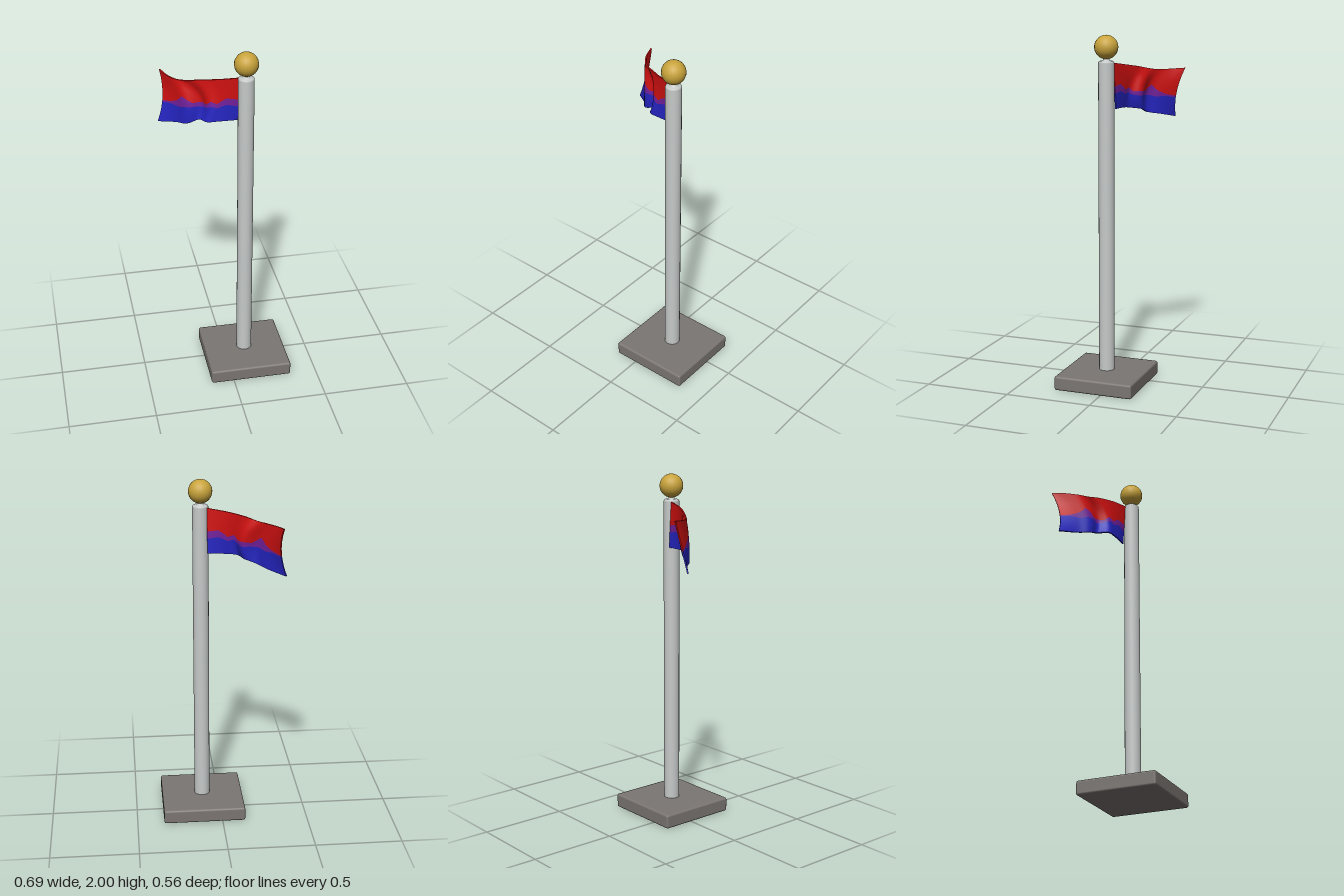
import * as THREE from 'three';
import { RoundedBoxGeometry } from 'three/addons/geometries/RoundedBoxGeometry.js';

const mat = (name, color, side = THREE.FrontSide) => {
  const m = new THREE.MeshStandardMaterial({ color, side });
  m.name = name;
  return m;
};

// Grid surface of (cols+1) x (rows+1) points; rowMaterial(j) picks the colour of a row
function sheet(point, cols, rows, rowMaterial) {
  const pos = [], index = [], geo = new THREE.BufferGeometry();
  for (let j = 0; j <= rows; j++)
    for (let i = 0; i <= cols; i++) pos.push(...point(i, j).toArray());
  for (let j = 0; j < rows; j++) {
    geo.addGroup(index.length, cols * 6, rowMaterial(j));
    for (let i = 0; i < cols; i++) {
      const a = j * (cols + 1) + i, b = a + 1, c = a + cols + 1, d = c + 1;
      index.push(a, b, c, b, d, c);
    }
  }
  geo.setAttribute('position', new THREE.Float32BufferAttribute(pos, 3));
  geo.setIndex(index);
  geo.computeVertexNormals();
  return geo;
}

const curve = pts => new THREE.CatmullRomCurve3(pts.map(p => new THREE.Vector3(...p)));

// Linear lookup in a short list, t in 0..1
function lookup(list, t) {
  const f = t * (list.length - 1), k = Math.min(Math.floor(f), list.length - 2);
  return list[k] + (list[k + 1] - list[k]) * (f - k);
}

function makeFlag(materials) {
  const flag = new THREE.Group();
  flag.name = 'flag';

  // Top, middle and bottom lines of the waving cloth, from pole to free end
  const top = curve([[0.07, 1.845, 0.02], [-0.04, 1.83, -0.016], [-0.13, 1.815, -0.064],
    [-0.19, 1.80, -0.1], [-0.245, 1.793, -0.145], [-0.29, 1.795, -0.21], [-0.316, 1.80, -0.28]]);
  const middle = curve([[0.07, 1.715, 0.012], [-0.03, 1.705, -0.008], [-0.085, 1.70, -0.025],
    [-0.12, 1.695, -0.08], [-0.2, 1.68, -0.09], [-0.25, 1.67, -0.15], [-0.308, 1.66, -0.23]]);
  const bottom = curve([[0.07, 1.59, 0.004], [-0.04, 1.588, 0.0], [-0.1, 1.583, -0.012],
    [-0.135, 1.575, -0.07], [-0.2, 1.55, -0.086], [-0.25, 1.537, -0.142], [-0.343, 1.516, -0.213]]);

  const cloth = (u, v) => {
    const w = [2 * (v - 0.5) * (v - 1), 4 * v * (1 - v), 2 * v * (v - 0.5)];
    return [top, middle, bottom].reduce(
      (sum, c, k) => sum.addScaledVector(c.getPoint(u), w[k]), new THREE.Vector3());
  };

  // Ragged borders between the three colour bands
  const redEnd = [0.5, 0.44, 0.57, 0.5, 0.6, 0.58, 0.56, 0.38, 0.5, 0.56, 0.58];
  const purpleEnd = [0.66, 0.6, 0.67, 0.62, 0.68, 0.7, 0.65, 0.62, 0.64, 0.6, 0.61];
  const cols = 40, band = 4, rows = band * 3;
  const rowV = (u, j) => {
    const marks = [0, lookup(redEnd, u), lookup(purpleEnd, u), 1];
    return lookup(marks, j / rows);
  };

  // Cloth point pushed out to one side (+1 front, -1 back)
  const skin = (i, j, side) => {
    const u = i / cols, v = rowV(u, j), e = 0.01;
    const du = cloth(Math.min(u + e, 1), v).sub(cloth(Math.max(u - e, 0), v));
    const dv = cloth(u, Math.min(v + e, 1)).sub(cloth(u, Math.max(v - e, 0)));
    return cloth(u, v).addScaledVector(du.cross(dv).normalize(), side * 0.004);
  };
  const bandOf = j => Math.floor(j / band);

  const add = (name, geo) => {
    const mesh = new THREE.Mesh(geo, materials);
    mesh.name = name;
    flag.add(mesh);
  };
  add('flagFront', sheet((i, j) => skin(i, j, 1), cols, rows, bandOf));
  add('flagBack', sheet((i, j) => skin(cols - i, j, -1), cols, rows, bandOf));
  add('flagTopHem', sheet((i, j) => skin(i, 0, j ? 1 : -1), cols, 1, () => 0));
  add('flagBottomHem', sheet((i, j) => skin(i, rows, j ? -1 : 1), cols, 1, () => 2));
  add('flagFreeEdge', sheet((i, j) => skin(cols, j, i ? -1 : 1), 1, rows, bandOf));
  add('flagPoleEdge', sheet((i, j) => skin(0, j, i ? 1 : -1), 1, rows, bandOf));
  return flag;
}

export function createModel() {
  const model = new THREE.Group();
  model.name = 'flagpole';
  const cx = 0.105, cz = 0.047;
  const add = (name, geo, material, y) => {
    const mesh = new THREE.Mesh(geo, material);
    mesh.name = name;
    mesh.position.set(cx, y, cz);
    model.add(mesh);
  };

  // Square foot with softened edges
  add('base', new RoundedBoxGeometry(0.478, 0.082, 0.464, 3, 0.012), mat('stoneGrey', 0x7b7673), 0.041);

  // Pole with a rounded shoulder under the ball
  const profile = [[0.045, 0.07], [0.045, 1.845], [0.043, 1.852], [0.037, 1.857], [0.018, 1.859], [0.018, 1.88]]
    .map(p => new THREE.Vector2(...p));
  add('pole', new THREE.LatheGeometry(profile, 20), mat('paleMetal', 0xc6cac9), 0);

  // Ball on top
  add('finial', new THREE.SphereGeometry(0.067, 20, 14), mat('gold', 0xc9a43c), 1.933);

  const D = THREE.DoubleSide;
  model.add(makeFlag([mat('flagRed', 0xd01010, D), mat('flagPurple', 0x72209a, D), mat('flagBlue', 0x2424c0, D)]));
  return model;
}
